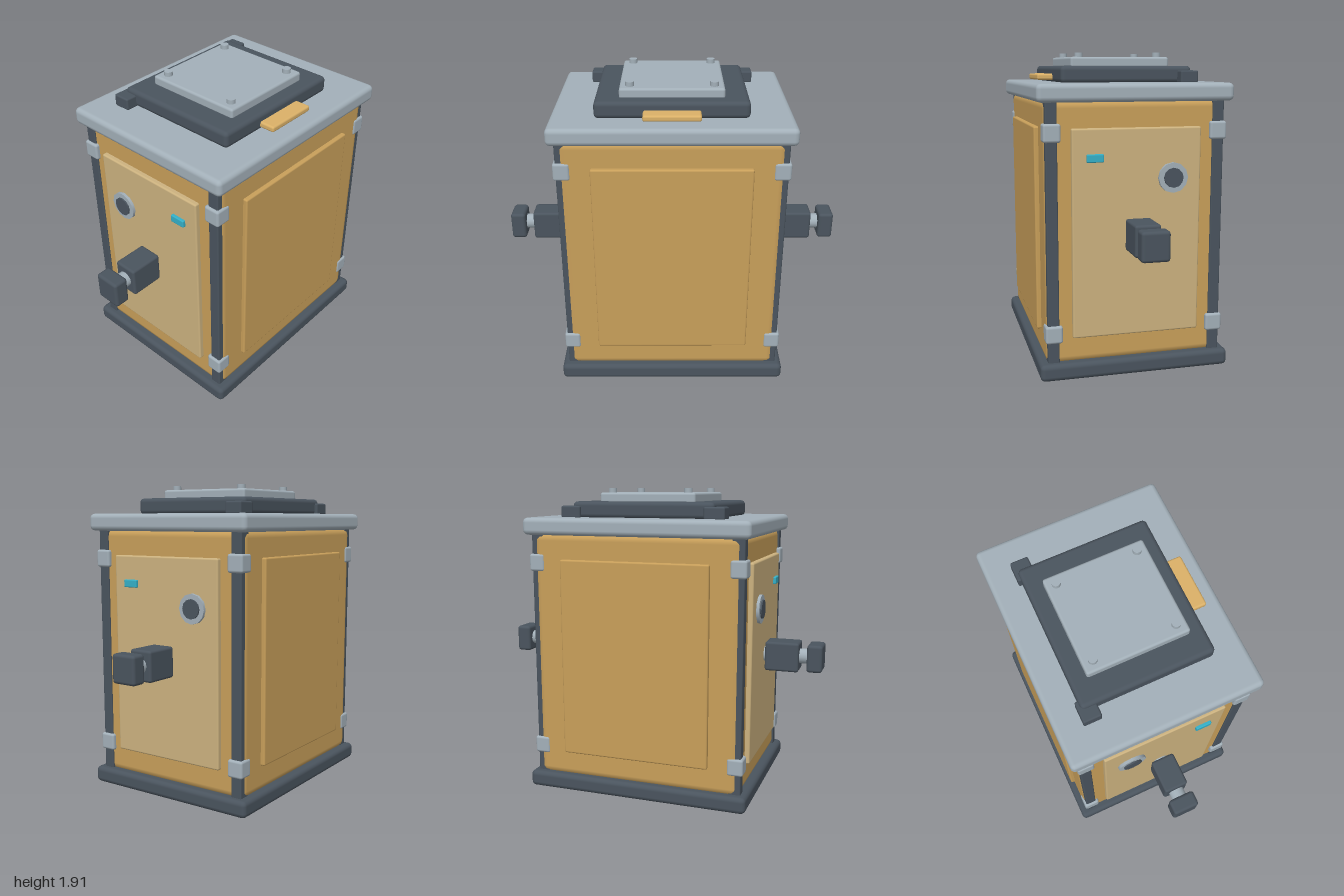
import * as THREE from 'three';
import { RoundedBoxGeometry } from 'three/addons/geometries/RoundedBoxGeometry.js';

const paint = (name, color) => {
  const m = new THREE.MeshStandardMaterial({ color });
  m.name = name;
  return m;
};

export function createModel() {
  const ochre = paint('ochre', 0xc89f5a);
  const sand = paint('sand', 0xccb27f);
  const slate = paint('slate', 0x4a545e);
  const steel = paint('steel', 0xa3b0b9);
  const cyan = paint('cyan', 0x35b0c8);
  const amber = paint('amber', 0xdbb168);

  const model = new THREE.Group();
  model.name = 'crate';

  // Rounded box given by its lower and upper bounds on each axis
  const block = (name, mat, [x0, x1], [y0, y1], [z0, z1], r = 0.015) => {
    const mesh = new THREE.Mesh(new RoundedBoxGeometry(x1 - x0, y1 - y0, z1 - z0, 2, r), mat);
    mesh.position.set((x0 + x1) / 2, (y0 + y1) / 2, (z0 + z1) / 2);
    mesh.name = name;
    model.add(mesh);
  };
  const sym = (v) => [-v, v];
  // Bounds on one side of an axis: s = 1 or -1
  const side = (s, a, b) => (s > 0 ? [a, b] : [-b, -a]);

  // Cylinder along x or y between two coordinates
  const rod = (name, mat, axis, radius, [a, b], u, v, sides = 16) => {
    const mesh = new THREE.Mesh(new THREE.CylinderGeometry(radius, radius, b - a, sides), mat);
    const mid = (a + b) / 2;
    if (axis === 'x') {
      mesh.rotation.z = Math.PI / 2;
      mesh.position.set(mid, u, v);
    } else mesh.position.set(u, mid, v);
    mesh.name = name;
    model.add(mesh);
  };

  // Main shell
  block('body', ochre, sym(0.622), [0.2, 1.66], sym(0.506), 0.045);
  block('base', slate, sym(0.67), [0.12, 0.217], sym(0.547), 0.028);
  block('lid', steel, sym(0.67), [1.647, 1.745], sym(0.547), 0.028);

  // Hatch on the lid, with its plate and pull tab
  block('hatch', slate, sym(0.425), [1.74, 1.835], [-0.382, 0.372], 0.025);
  block('hatchPlate', steel, sym(0.29), [1.825, 1.885], sym(0.29), 0.014);
  block('hatchTab', amber, sym(0.158), [1.755, 1.79], [0.34, 0.46], 0.012);

  // Foot block under the base
  block('foot', slate, sym(0.24), [0.028, 0.14], sym(0.24), 0.03);

  for (const sz of [1, -1]) {
    // Front and back panels
    block('facePanel', ochre, sym(0.443), [0.355, 1.51], side(sz, 0.49, 0.531), 0.01);
  }

  for (const sx of [1, -1]) {
    // Side panel with indicator light and gauge
    block('sidePanel', sand, side(sx, 0.6, 0.65), [0.355, 1.51], sym(0.362), 0.01);
    block('indicator', cyan, side(sx, 0.64, 0.667), [1.33, 1.374], [0.19, 0.283], 0.006);
    rod('gaugeRing', steel, 'x', 0.084, side(sx, 0.64, 0.667), 1.235, -0.2, 12);
    rod('gaugeFace', slate, 'x', 0.055, side(sx, 0.64, 0.676), 1.235, -0.2, 12);

    // Side arm
    block('armBlock', slate, side(sx, 0.662, 0.862), [0.845, 1.02], sym(0.072), 0.015);
    rod('armRod', steel, 'x', 0.045, side(sx, 0.62, 0.94), 0.935, 0);
    block('armEnd', slate, side(sx, 0.91, 1.0), [0.852, 1.015], sym(0.078), 0.018);

    // Hatch hinge
    block('hinge', slate, side(sx, 0.37, 0.49), [1.74, 1.81], [-0.4, -0.297], 0.01);

    for (const sz of [1, -1]) {
      // Corner post with its two clips
      block('cornerPost', slate, side(sx, 0.56, 0.632), [0.2, 1.66], side(sz, 0.435, 0.5), 0.008);
      for (const y of [0.38, 1.487]) {
        block('cornerClip', steel, side(sx, 0.553, 0.646), [y - 0.05, y + 0.05], side(sz, 0.417, 0.513), 0.014);
      }
      // Screws above and below
      rod('hatchScrew', steel, 'y', 0.024, [1.87, 1.91], sx * 0.232, sz * 0.232);
      rod('footScrew', steel, 'y', 0.024, [0, 0.04], sx * 0.183, sz * 0.183);
    }
  }

  return model;
}
